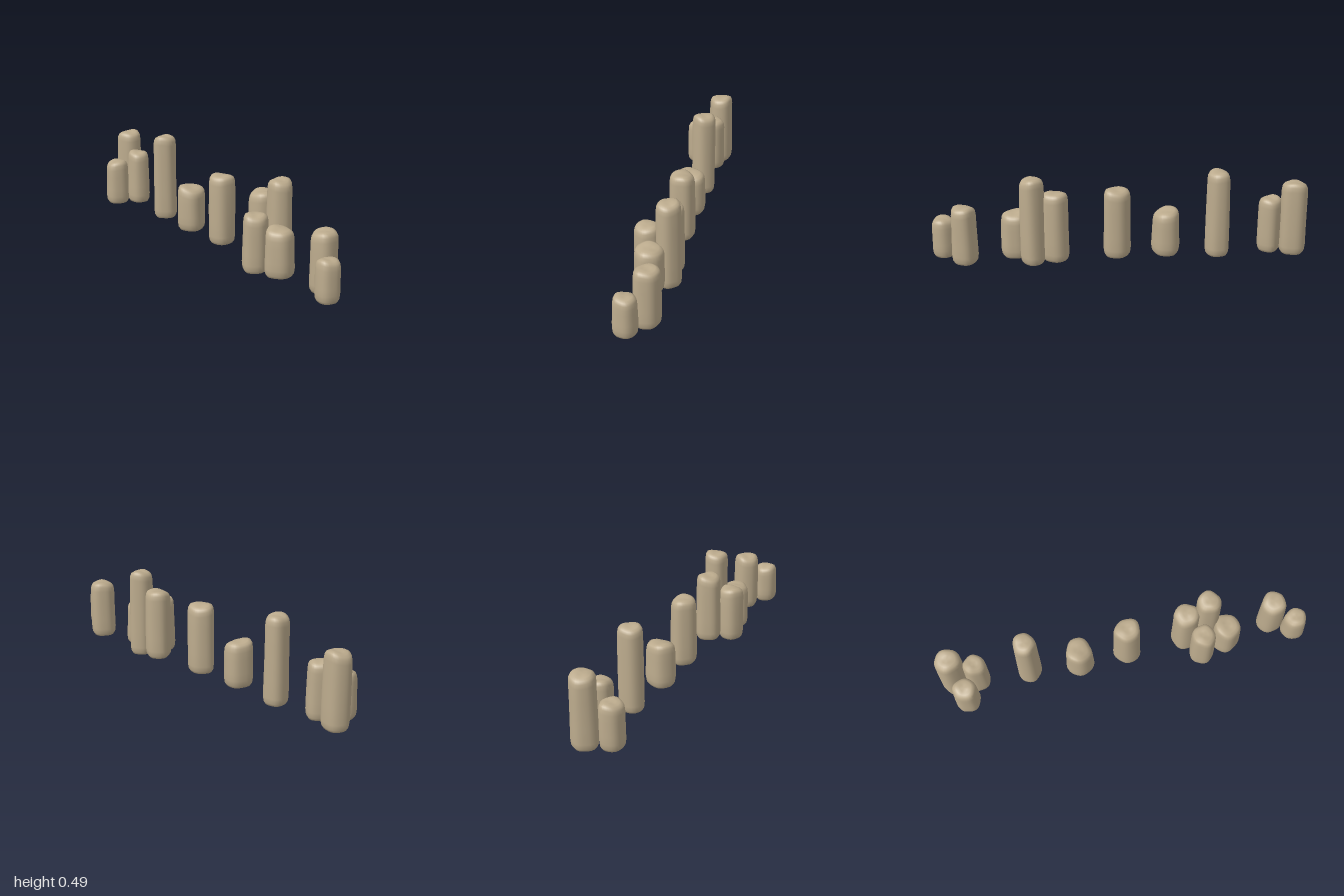
import * as THREE from 'three';
import { mergeVertices } from 'three/addons/utils/BufferGeometryUtils.js';

// x, z, half width, half depth, base, top, top slope in x, top slope in z
const STONES = [
  [-0.925, -0.070, 0.073, 0.069, 0.010, 0.415, 0.05, -0.08],
  [-0.800, -0.050, 0.063, 0.063, 0.020, 0.325, -0.08, 0.03],
  [-0.877, 0.050, 0.067, 0.066, 0.014, 0.268, 0.03, -0.05],
  [-0.522, -0.043, 0.064, 0.067, 0.003, 0.482, 0.04, 0.03],
  [-0.247, -0.022, 0.075, 0.080, 0.015, 0.262, -0.16, 0.05],
  [0.018, -0.027, 0.074, 0.071, 0.015, 0.396, 0.03, 0.04],
  [0.342, -0.036, 0.072, 0.070, 0.010, 0.394, 0.0, -0.08],
  [0.462, -0.048, 0.067, 0.066, 0.002, 0.481, -0.05, -0.06],
  [0.414, 0.069, 0.067, 0.069, 0.004, 0.311, -0.07, 0.0],
  [0.555, 0.029, 0.075, 0.078, 0.015, 0.267, -0.12, 0.04],
  [0.822, -0.020, 0.070, 0.070, 0.008, 0.326, 0.02, -0.07],
  [0.932, 0.058, 0.064, 0.062, 0.018, 0.235, 0.05, 0.05],
];

// Weathered upright stone: a bevelled column with gentle uneven lobes
function stoneGeometry(hw, hd, base, top, sx, sz, seed) {
  const h = top - base, V = (x, y) => new THREE.Vector2(x, y);
  const profile = [V(0, 0), V(0.6, 0.002), V(0.82, 0.007), V(0.95, 0.022), V(1, 0.05)];
  for (let i = 1; i <= 4; i++) profile.push(V(1 - 0.012 * i, 0.05 + (h - 0.095) * i / 4));
  profile.push(V(0.91, h - 0.022), V(0.81, h - 0.008), V(0.6, h), V(0.3, h), V(0, h));
  let g = new THREE.LatheGeometry(profile, 28);
  g.deleteAttribute('normal');
  g.deleteAttribute('uv');
  const p = g.attributes.position;
  for (let i = 0; i < p.count; i++) {
    const x = p.getX(i), y = p.getY(i), z = p.getZ(i);
    const a = Math.atan2(x, z), t = y / h, r = Math.hypot(x, z);
    // facets around the girth that drift with height
    const k = 0.99 + 0.025 * Math.sin(3 * a + seed * 2.1 + t * 0.8)
      + 0.025 * Math.cos(5 * a + seed * 1.3)
      + 0.018 * Math.sin(2 * a + seed + t * 4);
    // sloping, slightly dented crown
    const crown = THREE.MathUtils.smoothstep(t, 0.6, 1);
    const dent = 0.006 * r * Math.sin(2 * a + seed * 1.7);
    p.setXYZ(i, x * k * hw, base + y + crown * (x * hw * sx + z * hd * sz + dent), z * k * hd);
  }
  g = mergeVertices(g, 1e-5);
  g.computeVertexNormals();
  return g;
}

export function createModel() {
  const group = new THREE.Group();
  group.name = 'standingStones';
  const stone = new THREE.MeshStandardMaterial({ color: 0xbcab8d });
  stone.name = 'sandstone';
  STONES.forEach(([x, z, ...shape], i) => {
    const mesh = new THREE.Mesh(stoneGeometry(...shape, i + 1), stone);
    mesh.name = `standingStone${i + 1}`;
    mesh.position.set(x, 0, z);
    group.add(mesh);
  });
  return group;
}
